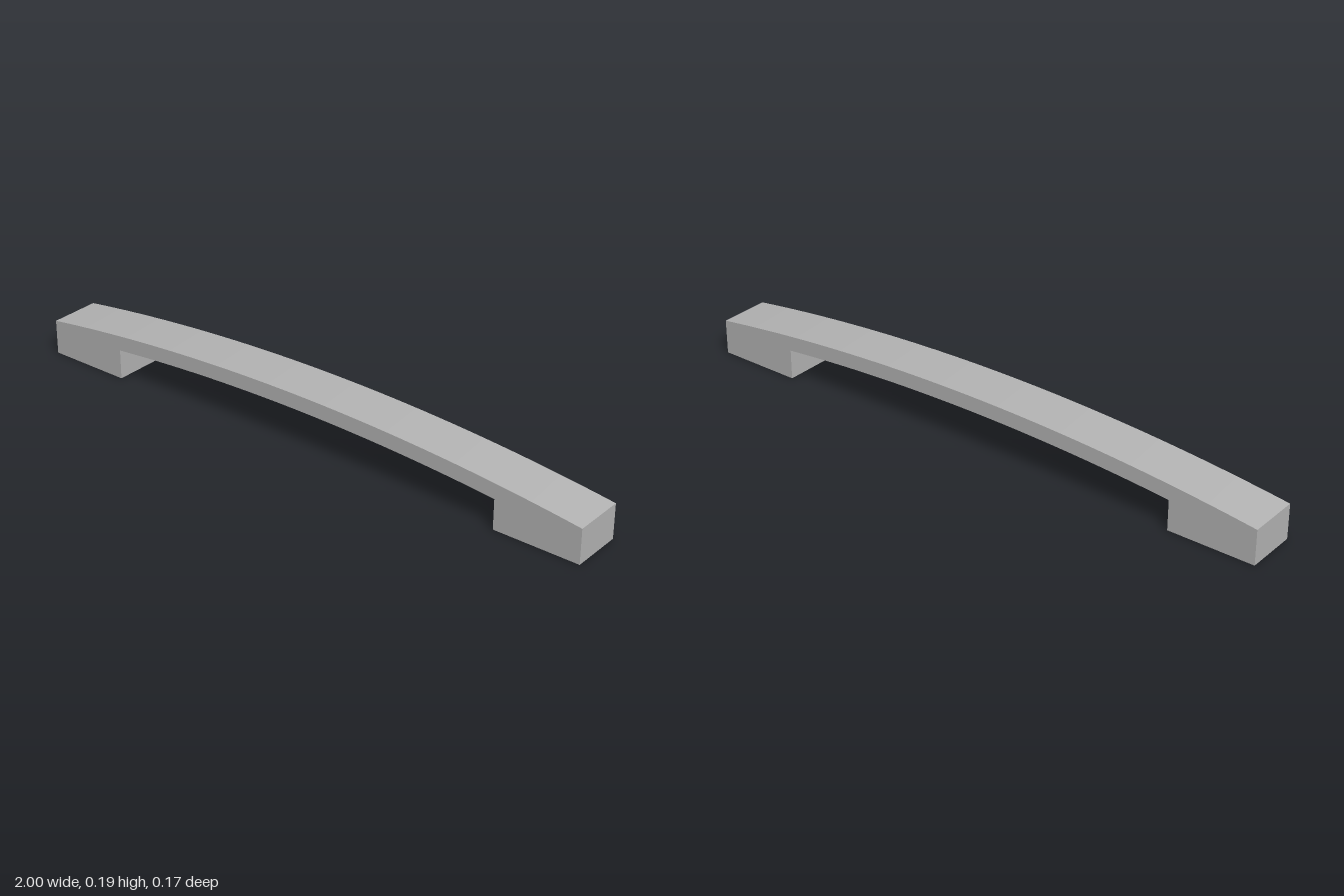
import * as THREE from 'three';
import { toCreasedNormals } from 'three/addons/utils/BufferGeometryUtils.js';

const DEPTH = 0.17;
const APEX = 0.185; // top of the bow
const THICKNESS = 0.05;
const RADIUS = 7.18; // outer curve of the bow
const FOOT_INNER = 0.715; // x of each foot's inner face
const CENTRE_Y = APEX - RADIUS;

export function createModel() {
  const group = new THREE.Group();
  group.name = 'bowHandle';

  const grey = new THREE.MeshStandardMaterial({ color: 0xb4b4b4 });
  grey.name = 'satin grey';

  // Side profile: two feet joined by a bow of two concentric arcs
  const innerRadius = RADIUS - THICKNESS;
  const outerAngle = Math.asin(1 / RADIUS);
  const innerAngle = Math.asin(FOOT_INNER / innerRadius);
  const up = Math.PI / 2;

  const profile = new THREE.Shape();
  profile.moveTo(-1, 0);
  profile.lineTo(-FOOT_INNER, 0);
  profile.absarc(0, CENTRE_Y, innerRadius, up + innerAngle, up - innerAngle, true);
  profile.lineTo(FOOT_INNER, 0);
  profile.lineTo(1, 0);
  profile.absarc(0, CENTRE_Y, RADIUS, up - outerAngle, up + outerAngle, false);
  profile.closePath();

  // Extrude across the width, keeping the bow smooth and the edges sharp
  const geometry = new THREE.ExtrudeGeometry(profile, {
    depth: DEPTH,
    bevelEnabled: false,
    curveSegments: 20,
  });
  geometry.translate(0, 0, -DEPTH / 2);

  const handle = new THREE.Mesh(toCreasedNormals(geometry, Math.PI / 8), grey);
  handle.name = 'handleBar';
  group.add(handle);

  return group;
}
